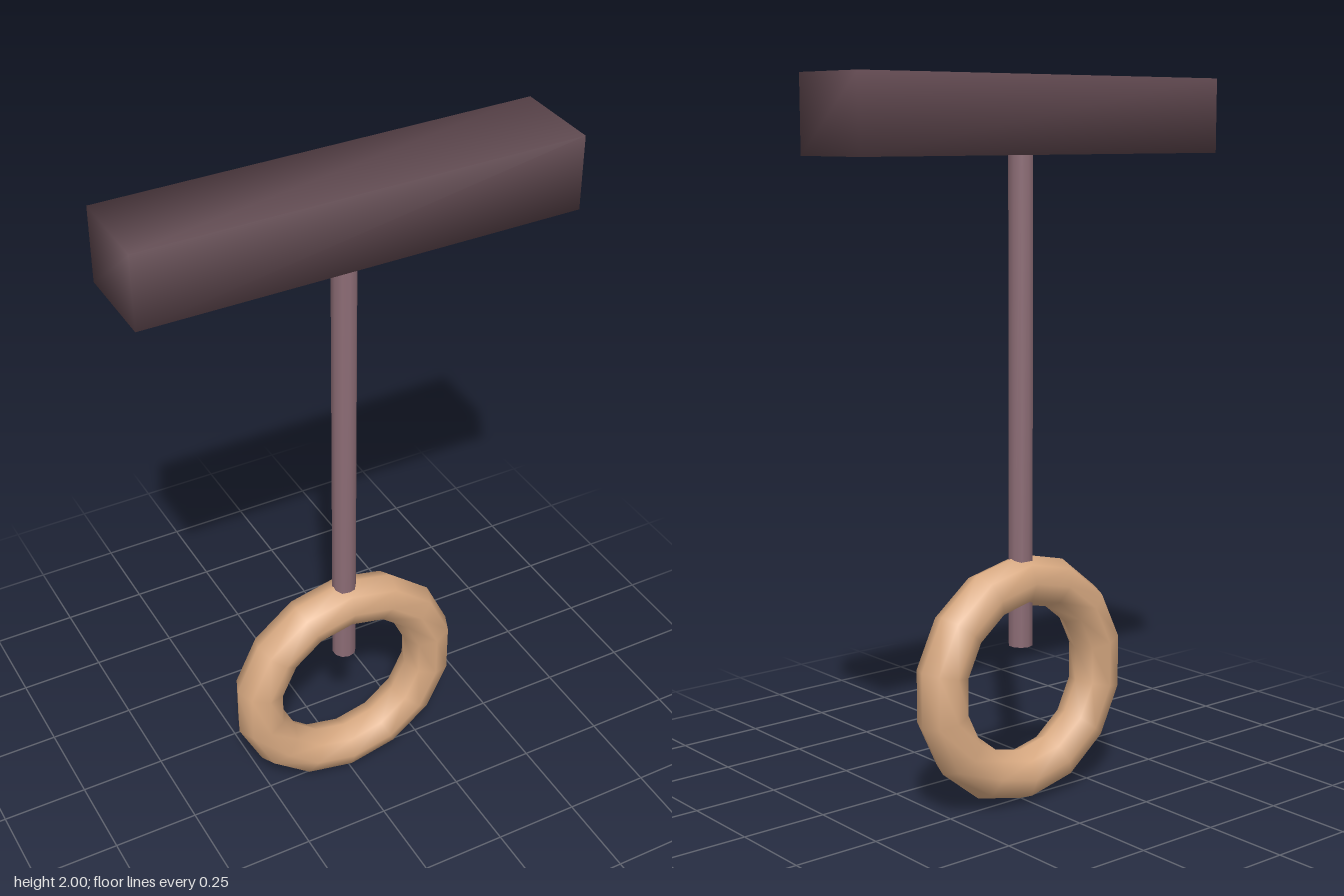
import * as THREE from 'three';
import { mergeVertices } from 'three/addons/utils/BufferGeometryUtils.js';

const darkWood = new THREE.MeshStandardMaterial({ name: 'dark wood', color: 0x5c454c });
const mauveRod = new THREE.MeshStandardMaterial({ name: 'mauve rod', color: 0x8c6c75 });
const tanRing = new THREE.MeshStandardMaterial({ name: 'tan ring', color: 0xd9aa82 });

// Weld all corners so the shading runs softly around the edges
function soften(geometry) {
  geometry.deleteAttribute('normal');
  geometry.deleteAttribute('uv');
  const welded = mergeVertices(geometry, 1e-4);
  welded.computeVertexNormals();
  return welded;
}

function part(name, geometry, material, y) {
  const mesh = new THREE.Mesh(soften(geometry), material);
  mesh.name = name;
  mesh.position.y = y;
  return mesh;
}

export function createModel() {
  const model = new THREE.Group();
  model.name = 'hangingRing';

  // Beam across the top
  model.add(part('beam', new THREE.BoxGeometry(1.22, 0.205, 0.252), darkWood, 1.8975));

  // Rod from the beam down into the ring's opening
  model.add(part('rod', new THREE.CylinderGeometry(0.034, 0.034, 1.36, 10), mauveRod, 1.13));

  // Ring with a coarse, slightly faceted outline
  const ring = new THREE.TorusGeometry(0.281, 0.071, 8, 14);
  ring.rotateZ(Math.PI / 14);
  model.add(part('ring', ring, tanRing, 0.355));

  return model;
}
